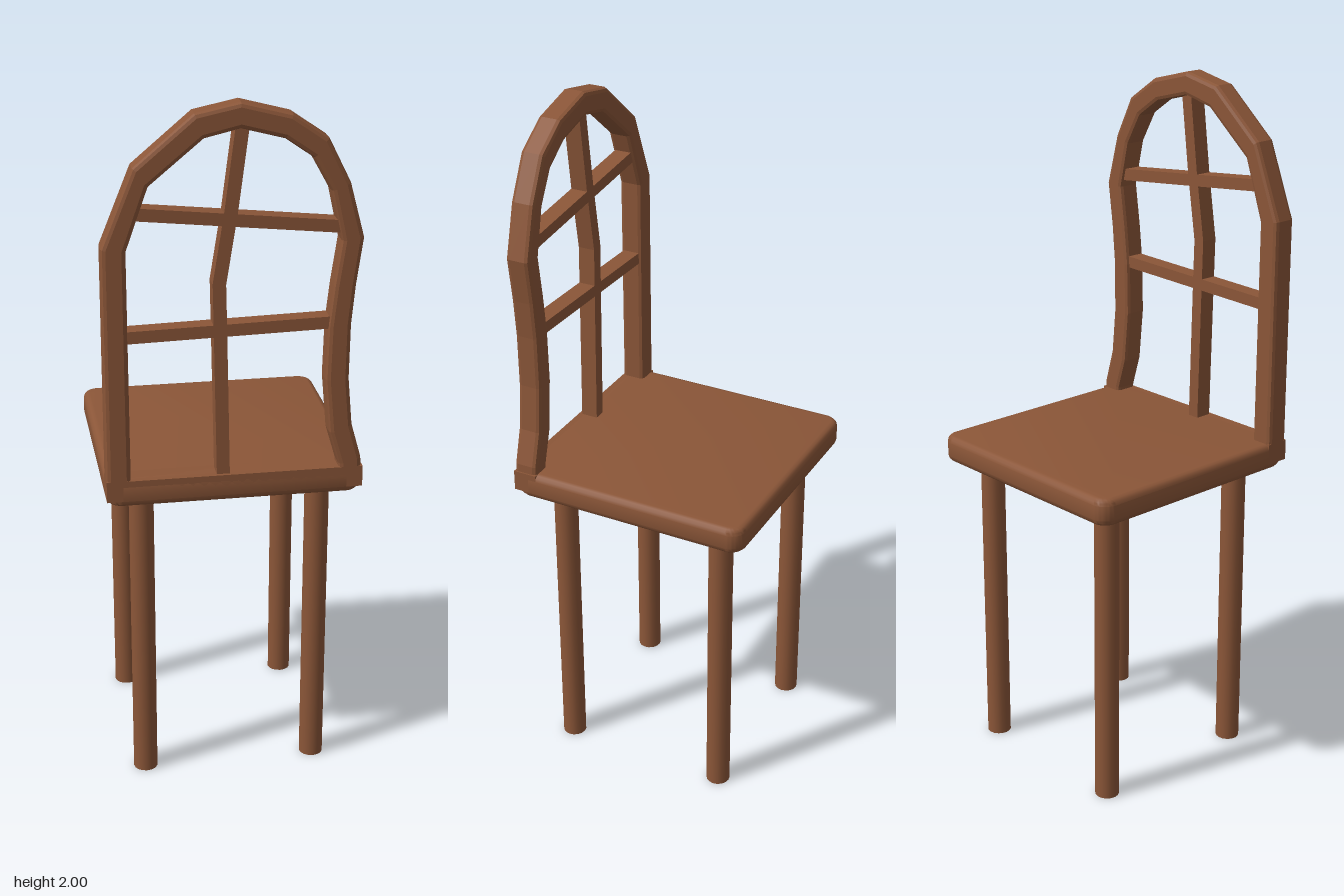
import * as THREE from 'three';
import { toCreasedNormals } from 'three/addons/utils/BufferGeometryUtils.js';

const wood = new THREE.MeshStandardMaterial({ color: 0x8b5638 });
wood.name = 'brown wood';

function addPart(parent, name, geometry, x = 0, y = 0, z = 0) {
  const mesh = new THREE.Mesh(geometry, wood);
  mesh.name = name;
  mesh.position.set(x, y, z);
  parent.add(mesh);
  return mesh;
}

// Extrusion of total thickness d whose bevel stays inside the outline
function bevelled(shape, d, b, segments = 3) {
  return new THREE.ExtrudeGeometry(shape, {
    depth: d - 2 * b, bevelThickness: b, bevelSize: b, bevelOffset: -b,
    bevelSegments: segments, curveSegments: 6,
  }).translate(0, 0, b - d / 2);
}

// Flat strip of constant width following a line of [x, y] points
function strip(points, width, depth) {
  const left = [], right = [];
  points.forEach(([x, y], i) => {
    const a = points[Math.max(i - 1, 0)], c = points[Math.min(i + 1, points.length - 1)];
    const n = new THREE.Vector2(a[1] - c[1], c[0] - a[0]).setLength(width / 2);
    left.push(new THREE.Vector2(x + n.x, y + n.y));
    right.unshift(new THREE.Vector2(x - n.x, y - n.y));
  });
  return new THREE.ExtrudeGeometry(new THREE.Shape([...left, ...right]), { depth, bevelEnabled: false })
    .translate(0, 0, -depth / 2);
}

export function createModel() {
  const chair = new THREE.Group();
  chair.name = 'chair';

  // Seat: soft-edged slab with rounded corners
  const h = 0.355, r = 0.045;
  const slab = new THREE.Shape();
  slab.moveTo(-h + r, -h).lineTo(h - r, -h).absarc(h - r, -h + r, r, -Math.PI / 2, 0);
  slab.lineTo(h, h - r).absarc(h - r, h - r, r, 0, Math.PI / 2);
  slab.lineTo(-h + r, h).absarc(-h + r, h - r, r, Math.PI / 2, Math.PI);
  slab.lineTo(-h, -h + r).absarc(-h + r, -h + r, r, Math.PI, Math.PI * 1.5);
  const seat = toCreasedNormals(bevelled(slab, 0.078, 0.018).rotateX(-Math.PI / 2), 0.7);
  addPart(chair, 'seat', seat, 0, 0.937, 0);

  // Square rail carrying the backrest
  addPart(chair, 'backRail', new THREE.BoxGeometry(0.71, 0.06, 0.07), 0, 0.946, 0.32);

  // Four round legs
  for (const x of [-0.25, 0.25]) {
    for (const z of [-0.25, 0.25]) {
      addPart(chair, 'leg', new THREE.CylinderGeometry(0.035, 0.035, 0.91, 16), x, 0.455, z);
    }
  }

  // Arched frame with one wavy post
  const outer = [
    [-0.355, 0.95], [-0.355, 1.63], [-0.27, 1.84], [-0.11, 1.975], [0.01, 2], [0.145, 1.965],
    [0.24, 1.9], [0.3, 1.78], [0.34, 1.63], [0.322, 1.5], [0.312, 1.39], [0.31, 1.235],
    [0.322, 1.1], [0.35, 1], [0.352, 0.95],
  ];
  const inner = [
    [0.29, 0.95], [0.288, 0.985], [0.26, 1.08], [0.246, 1.235], [0.25, 1.39], [0.262, 1.5],
    [0.28, 1.625], [0.25, 1.76], [0.2, 1.85], [0.125, 1.902], [0.01, 1.932], [-0.085, 1.91],
    [-0.23, 1.79], [-0.29, 1.62], [-0.288, 0.95],
  ];
  const arch = new THREE.Shape([...outer, ...inner].map(([x, y]) => new THREE.Vector2(x, y)));
  const back = new THREE.Group();
  back.name = 'backrest';
  back.position.z = 0.32;
  chair.add(back);
  addPart(back, 'backFrame', bevelled(arch, 0.07, 0.012, 2));

  // Crooked glazing-style bars
  addPart(back, 'uprightBar', strip(
    [[-0.033, 0.95], [-0.042, 1.39], [-0.045, 1.52], [-0.015, 1.71], [0.016, 1.95]], 0.036, 0.05));
  addPart(back, 'lowerCrossBar', strip([[-0.31, 1.384], [0.27, 1.398]], 0.034, 0.05));
  addPart(back, 'upperCrossBar', strip([[-0.28, 1.72], [0.3, 1.66]], 0.034, 0.05));

  return chair;
}
